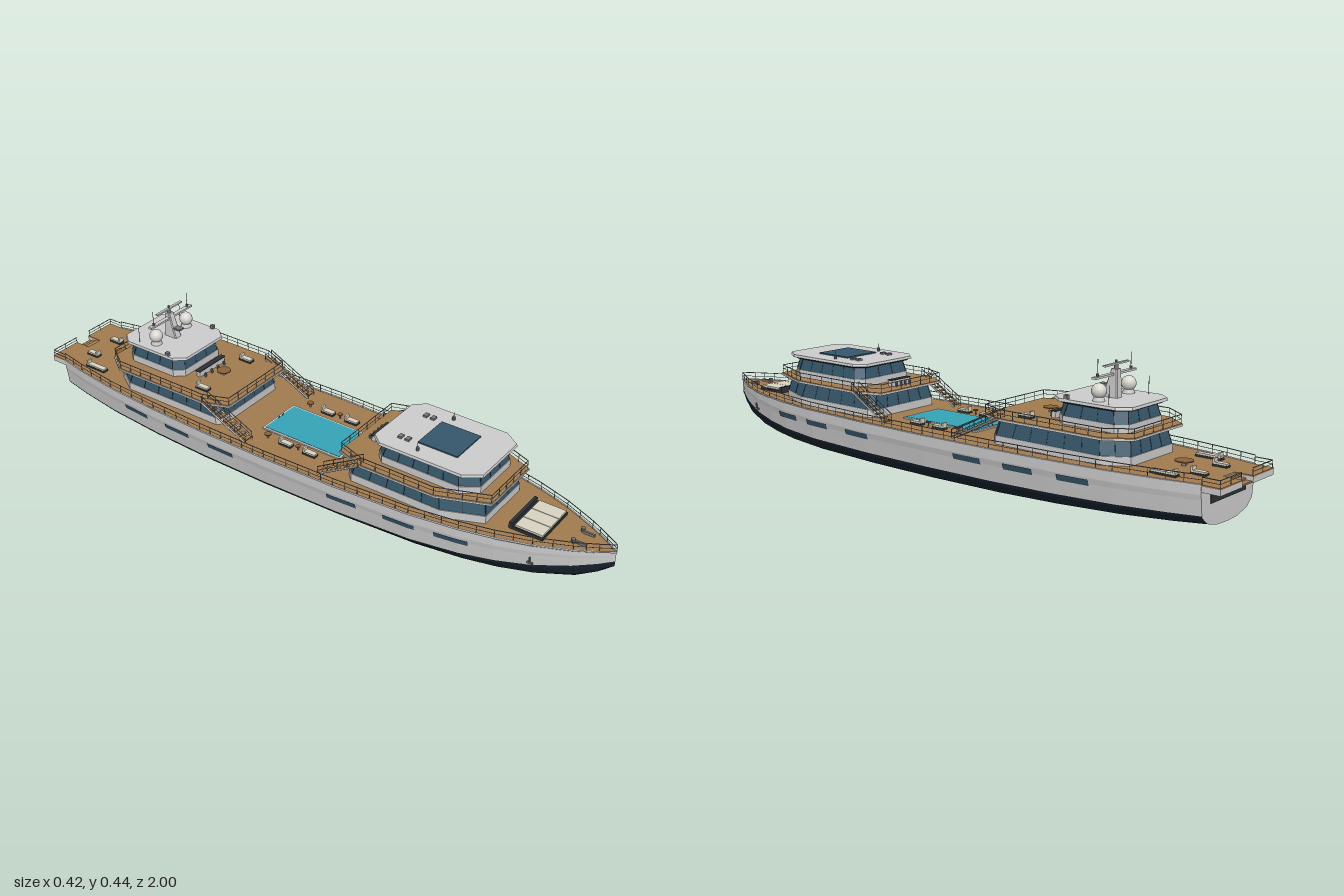
import * as THREE from 'three';

const V = (x, y, z) => new THREE.Vector3(x, y, z);
const mats = {};
const mat = (color) => (mats[color] ??= new THREE.MeshStandardMaterial({ color, flatShading: true }));
const WHITE = 0xd4d6d8, NAVY = 0x17232d, GLASS = 0x35566a, TEAK = 0xa07a4e, STEEL = 0x77777a, DARK = 0x2b3135, CREAM = 0xd8d2c2;
const DECK = 0.165, UPPER = 0.247, ROOF = 0.32;

// Hull stations: z, half beam at deck, keel height, paint line height
const stations = [
  [1, 0, 0.118, 0.134], [0.96, 0.028, 0.085, 0.123], [0.9, 0.062, 0.05, 0.109], [0.8, 0.107, 0.027, 0.092],
  [0.7, 0.14, 0.016, 0.082], [0.6, 0.164, 0.01, 0.075], [0.45, 0.187, 0.005, 0.07], [0.2, 0.202, 0.001, 0.068],
  [-0.05, 0.207, 0, 0.068], [-0.3, 0.204, 0.002, 0.068], [-0.5, 0.196, 0.008, 0.07], [-0.7, 0.18, 0.018, 0.073],
  [-0.85, 0.158, 0.029, 0.077], [-0.945, 0.139, 0.038, 0.08]];

function stationAt(z) {
  const i = Math.max(1, stations.findIndex((s) => s[0] <= z));
  const a = stations[i - 1], b = stations[i], t = (a[0] - z) / (a[0] - b[0]);
  return a.map((v, k) => v + (b[k] - v) * t);
}
const bottomHalf = ([z, w, k, p]) => [[0, 0], [0.37, 0.06], [0.73, 0.36], [0.915, 0.86], [0.935, 1]].map(([f, t]) => V(w * f, k + (p - k) * t, z));
const sideHalf = ([z, w, , p]) => [[0.935, 0], [0.972, 0.5], [0.995, 0.68], [1, 1]].map(([f, t]) => V(w * f, p + (DECK - p) * t, z));
const flip = (row) => row.map((p) => V(-p.x, p.y, p.z)).reverse();

// Surface through rows of points
function surface(rows, caps = false) {
  const n = rows[0].length, idx = [];
  for (let r = 0; r < rows.length - 1; r++) for (let c = 0; c < n - 1; c++) {
    const a = r * n + c, b = a + n;
    idx.push(a, b, a + 1, b, b + 1, a + 1);
  }
  const top = (rows.length - 1) * n;
  if (caps) for (let i = 1; i < n - 2; i++) idx.push(0, i, i + 1, top, top + i + 1, top + i);
  const g = new THREE.BufferGeometry().setFromPoints(rows.flat());
  g.setIndex(idx);
  g.computeVertexNormals();
  return g;
}

function add(parent, name, geo, color, x = 0, y = 0, z = 0) {
  const m = new THREE.Mesh(geo, mat(color));
  m.name = name;
  m.position.set(x, y, z);
  parent.add(m);
  return m;
}
const box = (p, name, color, w, h, d, x, y, z) => add(p, name, new THREE.BoxGeometry(w, h, d), color, x, y + h / 2, z);
const cyl = (p, name, color, r0, r1, h, x, y, z, n = 12) => add(p, name, new THREE.CylinderGeometry(r1, r0, h, n), color, x, y + h / 2, z);
function bar(p, name, a, b, r, color) {
  const d = b.clone().sub(a);
  const m = add(p, name, new THREE.CylinderGeometry(r, r, d.length(), 5), color);
  m.position.copy(a).addScaledVector(d, 0.5);
  m.quaternion.setFromUnitVectors(V(0, 1, 0), d.normalize());
}
function group(parent, name) {
  const g = new THREE.Group();
  g.name = name;
  parent.add(g);
  return g;
}

// Railing with posts and two bars along a path
function railing(parent, name, pts, h = 0.025, step = 0.045) {
  const g = group(parent, name);
  const up = (p, k) => V(p.x, p.y + h * k, p.z);
  pts.forEach((p, i) => {
    bar(g, 'post', p, up(p, 1), 0.001, STEEL);
    if (!i) return;
    const a = pts[i - 1], n = Math.max(1, Math.round(a.distanceTo(p) / step));
    for (let k = 1; k < n; k++) { const q = a.clone().lerp(p, k / n); bar(g, 'post', q, up(q, 1), 0.001, STEEL); }
    bar(g, 'topRail', up(a, 1), up(p, 1), 0.0014, STEEL);
    bar(g, 'midRail', up(a, 0.5), up(p, 0.5), 0.0009, STEEL);
  });
}

// Closed plan outline with cut corners, inset by d; b and f are [dx, dz] of the back and front corners
function outline([w, zb, zf, b, f], y, d = 0) {
  w -= d; zb += d; zf -= d;
  const right = [[w - b[0], zb], [w, zb + b[1]], [w, zf - f[1]], [w - f[0], zf]].map(([x, z]) => V(x, y, z));
  return [...right, ...flip(right), right[0].clone()];
}
const loft = (p, name, color, plan, y0, y1, d0 = 0, d1 = d0) => add(p, name, surface([outline(plan, y0, d0), outline(plan, y1, d1)], true), color);

// One storey: solid base, leaning window band with mullions
function storey(parent, name, plan, y0, y1, y2, lean) {
  const g = group(parent, name);
  loft(g, 'wallBase', WHITE, plan, y0, y1);
  loft(g, 'windowBand', GLASS, plan, y1, y2, 0.002, lean);
  const a = outline(plan, y1, 0.002), b = outline(plan, y2, lean);
  for (let i = 0; i < a.length - 1; i++) {
    const n = Math.max(1, Math.round(a[i].distanceTo(a[i + 1]) / 0.055));
    for (let k = 0; k < n; k++) bar(g, 'mullion', a[i].clone().lerp(a[i + 1], k / n), b[i].clone().lerp(b[i + 1], k / n), 0.001, DARK);
  }
}

// Stairs from the main deck to the upper deck
function stairs(parent, x, zTop, zFoot) {
  const g = group(parent, 'stairs'), n = 9;
  for (let i = 0; i < n; i++) {
    const t = (i + 0.5) / n;
    box(g, 'tread', TEAK, 0.032, 0.003, 0.014, x, DECK + (UPPER - DECK) * t, zFoot + (zTop - zFoot) * t);
  }
  for (const s of [-0.016, 0.016]) {
    const a = V(x + s, DECK, zFoot), b = V(x + s, UPPER, zTop);
    bar(g, 'stringer', a, b, 0.003, WHITE);
    railing(g, 'stairRail', [a, b]);
  }
}
function lounger(parent, x, y, z, dir = 1, len = 0.045) {
  const g = group(parent, 'lounger');
  box(g, 'frame', DARK, 0.02, 0.006, len, x, y, z);
  box(g, 'cushion', CREAM, 0.018, 0.005, len * 0.95, x, y + 0.006, z);
  box(g, 'backrest', CREAM, 0.018, 0.013, 0.006, x, y + 0.008, z - dir * len * 0.42);
}
function table(parent, x, y, z, r) {
  const g = group(parent, 'table');
  cyl(g, 'pedestal', STEEL, r * 0.3, r * 0.2, 0.012, x, y, z);
  cyl(g, 'tableTop', 0x8a6238, r, r, 0.003, x, y + 0.012, z, 18);
}
function counter(parent, y, z, w, side) {
  const g = group(parent, 'bar');
  box(g, 'counter', WHITE, w, 0.018, 0.014, 0, y, z);
  box(g, 'counterTop', DARK, w + 0.006, 0.003, 0.018, 0, y + 0.018, z);
  for (let i = -1.5; i < 2; i++) cyl(g, 'stool', STEEL, 0.004, 0.004, 0.012, i * w / 4, y, z + side * 0.018, 8);
}

export function createModel() {
  const root = new THREE.Group();
  root.name = 'yacht';

  // Hull
  const hull = group(root, 'hull');
  add(hull, 'hullBottom', surface(stations.map((s) => [...flip(bottomHalf(s)), ...bottomHalf(s).slice(1)])), NAVY);
  add(hull, 'hullLeft', surface(stations.map(sideHalf)), 0xcccccc);
  add(hull, 'hullRight', surface(stations.map((s) => flip(sideHalf(s)))), 0xcccccc);
  const last = stations.at(-1), half = [...bottomHalf(last), ...sideHalf(last)];
  const section = [...flip(half), ...half.slice(1)].map((p) => new THREE.Vector2(p.x, p.y));
  add(hull, 'transom', new THREE.ShapeGeometry(new THREE.Shape(section)).rotateY(Math.PI), 0xcccccc, 0, 0, last[0]);
  box(hull, 'transomDoor', DARK, 0.18, 0.025, 0.004, 0, 0.105, last[0]);
  const edge = stations.map(([z, w]) => V(w, DECK, z));
  const rim = [...edge, ...flip(edge).slice(0, -1)];
  add(hull, 'mainDeck', new THREE.ShapeGeometry(new THREE.Shape(rim.map((p) => new THREE.Vector2(p.x, -p.z)))).rotateX(-Math.PI / 2), TEAK, 0, DECK);
  for (const s of [1, -1]) {
    edge.forEach((p, i) => i && bar(hull, 'rubRail', V(s * edge[i - 1].x, DECK, edge[i - 1].z), V(s * p.x, DECK, p.z), 0.003, WHITE));
    railing(root, 'deckRailing', edge.map((p) => V(s * Math.max(0, p.x - 0.003), DECK, p.z)));
    // Hull windows follow the side
    for (const z of [0.58, 0.42, 0.23, -0.22, -0.4, -0.58]) {
      const rows = [0.05, 0.025, 0, -0.025, -0.05].map((d) => {
        const st = stationAt(z + d), sec = sideHalf(st);
        const r = [V(sec[1].x + 0.0015, 0.113, z + d), V(sec[2].x + 0.0025, 0.131, z + d)];
        return s > 0 ? r : flip(r);
      });
      add(hull, 'hullWindow', surface(rows), GLASS);
    }
    bar(hull, 'anchorShank', V(s * 0.108, 0.105, 0.8), V(s * 0.111, 0.125, 0.8), 0.003, STEEL);
    box(hull, 'anchorFluke', STEEL, 0.006, 0.005, 0.018, s * 0.108, 0.102, 0.8);
    // Stern platform halves
    box(root, 'sternPlatform', WHITE, 0.11, 0.016, 0.056, s * 0.083, 0.145, -0.972);
    box(root, 'platformDeck', TEAK, 0.11, 0.004, 0.056, s * 0.083, 0.161, -0.972);
    railing(root, 'platformRailing', [V(s * 0.136, DECK, -0.945), V(s * 0.136, DECK, -0.997), V(s * 0.03, DECK, -0.997)], 0.02);
  }
  for (let i = 0; i < 3; i++) box(root, 'sternStep', TEAK, 0.056, 0.005, 0.017, 0, 0.157 - i * 0.006, -0.954 - i * 0.017);

  // Deckhouses: plans as half width, back, front, corner cuts
  const houses = [
    { name: 'foreHouse', low: [0.148, 0.21, 0.65, [0.02, 0.02], [0.05, 0.12]], slab: [0.167, 0.18, 0.67, [0.03, 0.09], [0.06, 0.15]],
      up: [0.119, 0.29, 0.62, [0.025, 0.025], [0.035, 0.05]], roof: [0.131, 0.275, 0.632, [0.03, 0.035], [0.035, 0.05]] },
    { name: 'aftHouse', low: [0.148, -0.71, -0.26, [0.045, 0.07], [0.02, 0.02]], slab: [0.17, -0.73, -0.23, [0.05, 0.07], [0.03, 0.08]],
      up: [0.106, -0.685, -0.455, [0.025, 0.03], [0.025, 0.03]], roof: [0.117, -0.7, -0.44, [0.03, 0.035], [0.03, 0.035]] }];
  for (const h of houses) {
    const g = group(root, h.name);
    storey(g, 'lowerStorey', h.low, DECK, 0.19, 0.239, 0.013);
    loft(g, 'upperDeckSlab', WHITE, h.slab, 0.239, 0.245);
    loft(g, 'upperDeck', TEAK, h.slab, 0.245, UPPER, 0.002);
    railing(g, 'upperDeckRailing', outline(h.slab, UPPER, 0.004));
    storey(g, 'upperStorey', h.up, UPPER, 0.27, 0.308, 0.011);
    loft(g, 'roofEdge', DARK, h.roof, 0.306, 0.312, 0.012, 0.004);
    loft(g, 'roof', WHITE, h.roof, 0.312, ROOF, 0, 0.002);
  }
  for (const s of [1, -1]) {
    stairs(root, s * 0.16, 0.27, 0.13);
    stairs(root, s * 0.16, -0.31, -0.14);
  }

  // Fore roof fittings
  box(root, 'skylight', GLASS, 0.13, 0.004, 0.13, 0, ROOF, 0.465);
  for (const s of [1, -1]) {
    for (const z of [0.345, 0.37]) box(root, 'roofVent', STEEL, 0.018, 0.006, 0.013, s * 0.068, ROOF, z);
    cyl(root, 'roofLight', STEEL, 0.005, 0.005, 0.011, s * 0.098, ROOF, 0.42, 8);
    bar(root, 'whipAntenna', V(s * 0.098, ROOF, 0.42), V(s * 0.098, 0.345, 0.42), 0.0008, DARK);
    box(root, 'searchlight', STEEL, 0.011, 0.012, 0.012, s * 0.11, ROOF, -0.5);
  }

  // Mast, radars and domes
  const mast = group(root, 'mast');
  add(mast, 'mastColumn', surface([[0.014, ROOF, -0.6, -0.55], [0.011, 0.4, -0.595, -0.575]].map(([w, y, b, f]) => outline([w, b, f, [0.003, 0.003], [0.003, 0.003]], y)), true), WHITE);
  box(mast, 'crossArm', WHITE, 0.195, 0.006, 0.014, 0, 0.382, -0.58);
  cyl(mast, 'radarPivot', STEEL, 0.006, 0.006, 0.012, 0, 0.4, -0.585);
  box(mast, 'radarBar', WHITE, 0.116, 0.005, 0.009, 0, 0.411, -0.585);
  cyl(mast, 'mastLight', STEEL, 0.003, 0.003, 0.008, 0, 0.416, -0.585, 8);
  box(mast, 'forwardRadar', STEEL, 0.022, 0.005, 0.03, 0, 0.35, -0.55);
  for (const s of [1, -1]) {
    cyl(mast, 'domeBase', WHITE, 0.018, 0.014, 0.012, s * 0.072, ROOF, -0.58, 16);
    const dome = add(mast, 'satelliteDome', new THREE.SphereGeometry(0.0215, 20, 14), 0xd8d6d0, s * 0.072, 0.348, -0.58);
    dome.material = new THREE.MeshStandardMaterial({ color: 0xd8d6d0 });
    cyl(mast, 'antennaFoot', STEEL, 0.004, 0.004, 0.008, s * 0.08, 0.388, -0.58, 8);
    bar(mast, 'antenna', V(s * 0.08, 0.39, -0.58), V(s * 0.08, 0.436, -0.58), 0.0009, DARK);
    bar(mast, 'roofAntenna', V(s * 0.097, ROOF, -0.63), V(s * 0.097, 0.372, -0.63), 0.0009, DARK);
  }

  // Pool
  box(root, 'poolEdge', WHITE, 0.16, 0.004, 0.292, 0, DECK, -0.004);
  box(root, 'poolWater', 0x35a3b5, 0.146, 0.003, 0.278, 0, DECK + 0.002, -0.004);
  for (const s of [1, -1]) bar(root, 'poolLadder', V(s * 0.01, DECK, -0.145), V(s * 0.01, DECK + 0.015, -0.135), 0.0015, STEEL);

  // Deck furniture
  for (const s of [1, -1]) {
    for (const z of [-0.035, 0.055]) lounger(root, s * 0.11, DECK, z);
    table(root, s * 0.11, DECK, -0.105, 0.011);
    table(root, s * 0.11, DECK, 0.01, 0.008);
    lounger(root, s * 0.108, UPPER, -0.36);
    lounger(root, s * 0.115, DECK, -0.82, 1, 0.08);
    lounger(root, s * 0.055, DECK, -0.89, -1);
    cyl(root, 'bollard', STEEL, 0.005, 0.007, 0.014, s * 0.03, DECK, 0.885, 8);
    box(root, 'windlass', STEEL, 0.006, 0.008, 0.035, s * 0.026, DECK, 0.905);
  }
  table(root, 0, DECK, -0.81, 0.026);
  table(root, 0, UPPER, -0.365, 0.022);
  counter(root, UPPER, -0.42, 0.12, 1);
  counter(root, UPPER, 0.235, 0.08, -1);

  // Bow sunbed
  const sunbed = group(root, 'sunbed');
  box(sunbed, 'sunbedBase', DARK, 0.15, 0.009, 0.1, 0, DECK, 0.765);
  for (let i = -1; i <= 1; i++) box(sunbed, 'sunbedCushion', CREAM, 0.046, 0.006, 0.085, i * 0.048, DECK + 0.009, 0.77);
  box(sunbed, 'headrest', DARK, 0.15, 0.02, 0.01, 0, DECK, 0.715);
  return root;
}
